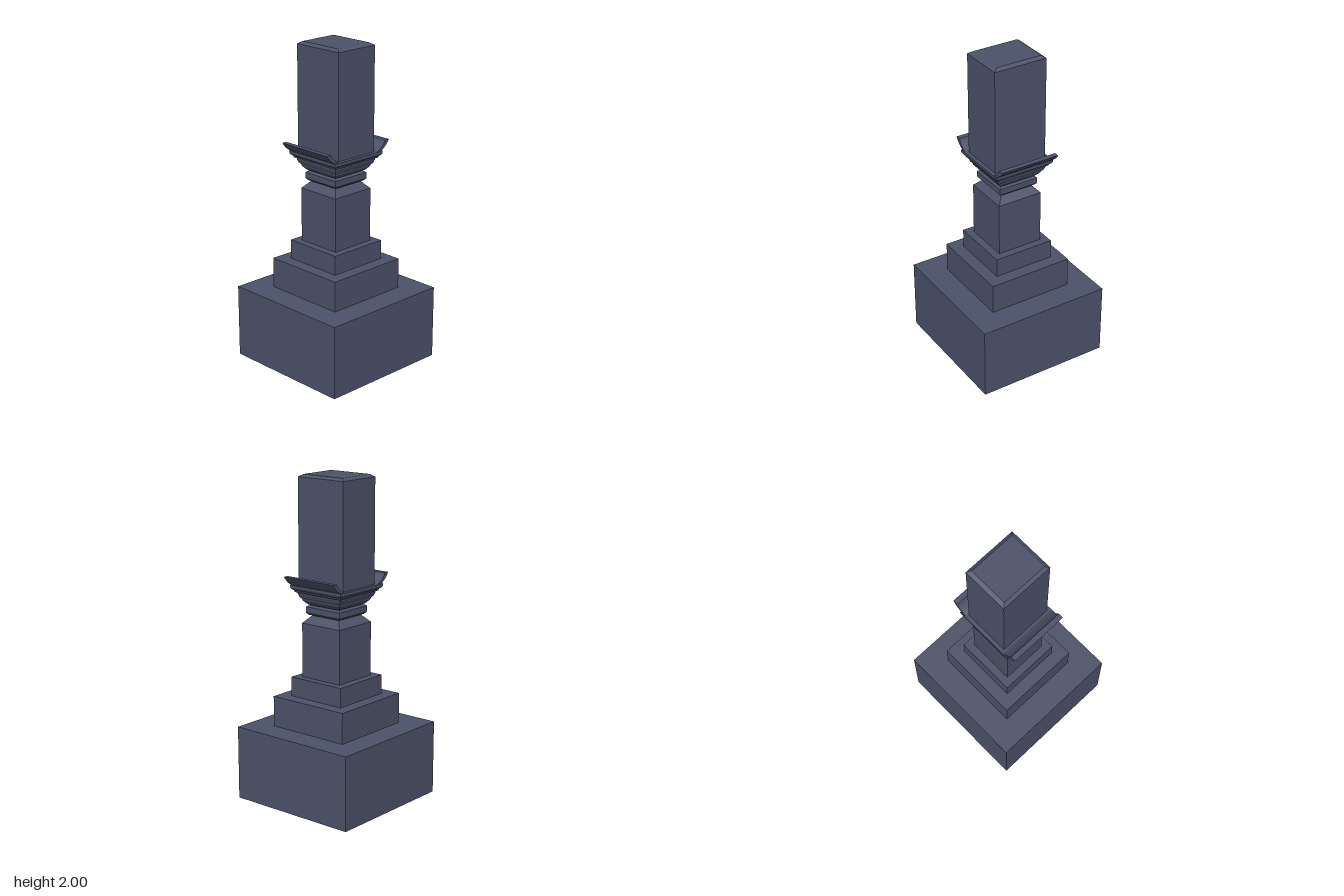
import * as THREE from 'three';

const material = new THREE.MeshStandardMaterial({ color: 0x4b5168, flatShading: true });

export function createModel() {
  const model = new THREE.Group();

  function add(name, geometry) {
    const mesh = new THREE.Mesh(geometry, material);
    mesh.name = name;
    model.add(mesh);
    return mesh;
  }

  // Square-plan solid from [half width, height] pairs, listed bottom to top, closed at both ends
  function squareTurned(name, profile) {
    const points = profile.map(([h, y]) => new THREE.Vector2(h * Math.SQRT2, y));
    points.unshift(new THREE.Vector2(0, profile[0][1]));
    points.push(new THREE.Vector2(0, profile[profile.length - 1][1]));
    return add(name, new THREE.LatheGeometry(points, 4, Math.PI / 4));
  }

  // Stepped foot
  [['base', 0.428, 0, 0.46], ['middleStep', 0.272, 0.46, 0.65], ['upperStep', 0.195, 0.65, 0.77]]
    .forEach(([name, h, y0, y1]) => squareTurned(name, [[h, y0], [h, y1]]));

  // Lower shaft with sloped shoulder
  squareTurned('lowerShaft', [[0.147, 0.77], [0.147, 1.105], [0.1, 1.155]]);

  // Collar moulding around the neck
  squareTurned('collar', [[0.1, 1.15], [0.118, 1.155], [0.13, 1.168], [0.13, 1.205], [0.12, 1.212], [0.1, 1.215]]);

  // Flaring capital
  squareTurned('capital', [
    [0.1, 1.21], [0.122, 1.22], [0.145, 1.245], [0.147, 1.255], [0.157, 1.265],
    [0.165, 1.285], [0.165, 1.292], [0.178, 1.298], [0.18, 1.308], [0.19, 1.314],
    [0.197, 1.325], [0.197, 1.34],
  ]);

  // Upper block, slightly wider than deep, with a bevelled top
  const block = squareTurned('upperBlock', [[0.147, 1.335], [0.147, 1.985], [0.126, 2]]);
  block.scale.x = 0.173 / 0.147;

  // Curved lips sweeping out over the front and back of the capital
  const lip = new THREE.Shape();
  lip.moveTo(0.145, 1.335);
  lip.lineTo(0.182, 1.335);
  lip.quadraticCurveTo(0.232, 1.358, 0.257, 1.4);
  lip.lineTo(0.224, 1.4);
  lip.quadraticCurveTo(0.208, 1.365, 0.165, 1.342);
  lip.closePath();
  const lipGeometry = new THREE.ExtrudeGeometry(lip, { depth: 0.382, bevelEnabled: false, curveSegments: 5 });
  lipGeometry.translate(0, 0, -0.191);
  add('frontLip', lipGeometry).rotation.y = -Math.PI / 2;
  add('backLip', lipGeometry).rotation.y = Math.PI / 2;

  return model;
}
